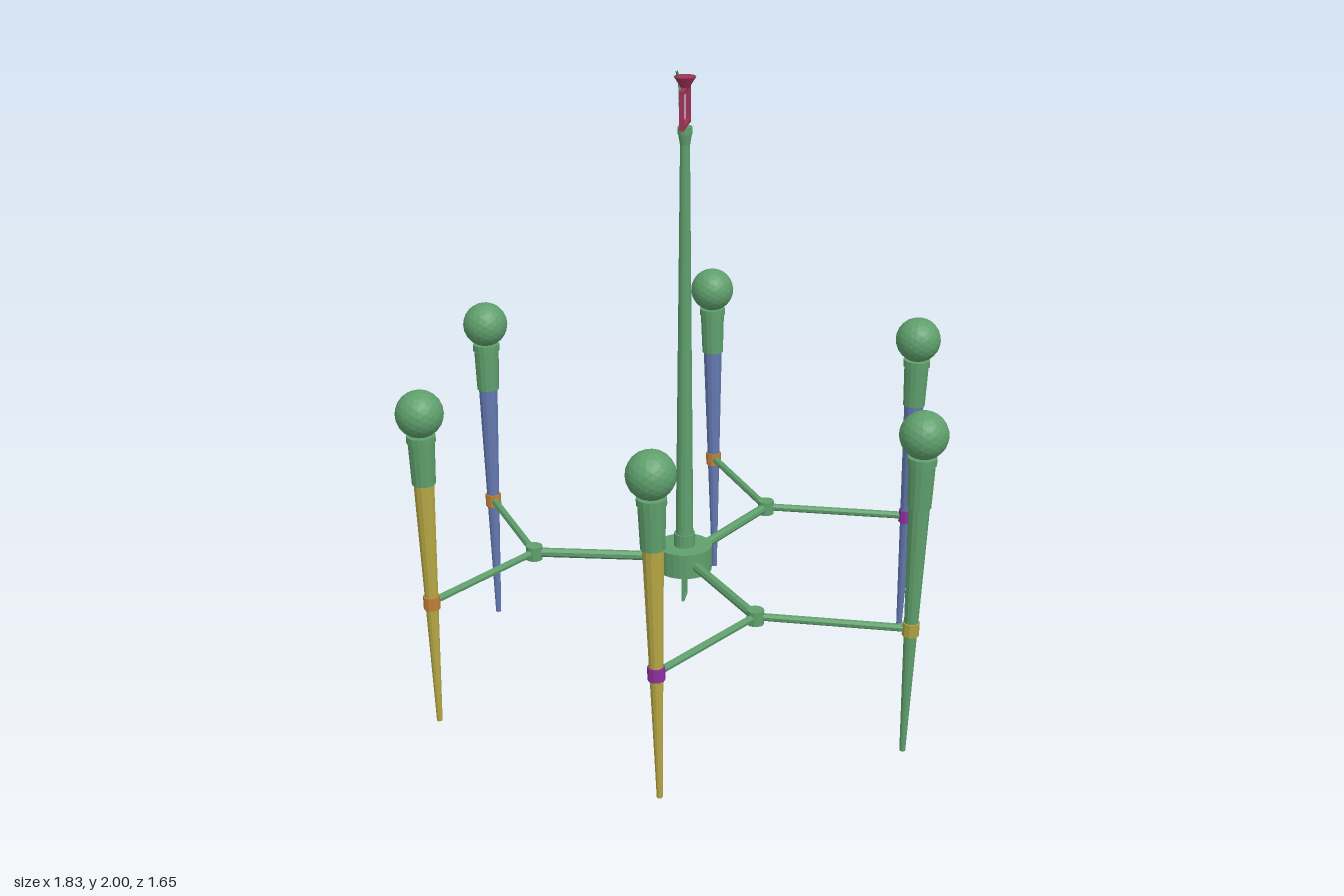
import * as THREE from 'three';

const mat = (color, extra = {}) => {
  const m = new THREE.MeshStandardMaterial({ flatShading: true, ...extra });
  m.color.set(color);
  return m;
};
const GREEN = mat(0x5f9f6c), BLUE = mat(0x6478b0), YELLOW = mat(0xb8a845);
const CRIMSON = mat(0xa03458), PURPLE = mat(0x9030a0), ORANGE = mat(0xbf8038), OLIVE = mat(0xb0a040);
const UP = new THREE.Vector3(0, 1, 0);
const CX = 0.012, CZ = 0.018, ARM_Y = 0.413;

function add(parent, name, geometry, material, x = 0, y = 0, z = 0) {
  const mesh = new THREE.Mesh(geometry, material);
  mesh.name = name;
  mesh.position.set(x, y, z);
  parent.add(mesh);
  return mesh;
}

// Cylinder spanning y0..y1
function drum(parent, name, rBottom, rTop, y0, y1, material, sides = 16) {
  return add(parent, name, new THREE.CylinderGeometry(rTop, rBottom, y1 - y0, sides), material, 0, (y0 + y1) / 2, 0);
}

// Horizontal rod between two [x, z] points
function rod(parent, name, a, b, r) {
  const p = new THREE.Vector3(a[0], ARM_Y, a[1]), q = new THREE.Vector3(b[0], ARM_Y, b[1]);
  const m = add(parent, name, new THREE.CylinderGeometry(r, r, p.distanceTo(q), 8), GREEN);
  m.position.copy(p).lerp(q, 0.5);
  m.quaternion.setFromUnitVectors(UP, q.sub(p).normalize());
}

// Upright rectangular ring, open in the middle
function frame(parent, name, w, y0, y1, bar, depth, material) {
  const h = y1 - y0, s = new THREE.Shape(), hole = new THREE.Path();
  s.moveTo(-w / 2, 0).lineTo(w / 2, 0).lineTo(w / 2, h).lineTo(-w / 2, h).closePath();
  hole.moveTo(-w / 2 + bar, bar).lineTo(-w / 2 + bar, h - bar).lineTo(w / 2 - bar, h - bar).lineTo(w / 2 - bar, bar).closePath();
  s.holes.push(hole);
  const g = new THREE.ExtrudeGeometry(s, { depth, bevelEnabled: false });
  g.translate(0, 0, -depth / 2);
  add(parent, name, g, material, 0, y0, 0).rotation.y = Math.PI / 3;
}

// Leaning lamp: spike, ring, cup and globe along the line from tip to globe
function lamp(parent, tip, ball, color, ringColor) {
  const g = new THREE.Group();
  g.name = 'lamp';
  g.position.set(tip[0], 0, tip[1]);
  const axis = new THREE.Vector3(ball[0] - tip[0], 1.035, ball[1] - tip[1]).normalize();
  g.quaternion.setFromUnitVectors(UP, axis);
  drum(g, 'spike', 0.009, 0.032, 0, 0.82, color, 12);
  drum(g, 'ring', 0.026, 0.026, ARM_Y - 0.021, ARM_Y + 0.021, ringColor, 10);
  drum(g, 'cup', 0.036, 0.041, 0.81, 0.962, GREEN, 14);
  drum(g, 'cupRim', 0.044, 0.044, 0.945, 0.967, GREEN, 14);
  add(g, 'globe', new THREE.IcosahedronGeometry(0.073, 3), GREEN, 0, 1.035, 0);
  parent.add(g);
}

export function createModel() {
  const model = new THREE.Group();
  model.name = 'chandelier';

  // Hub, column and finials share the central axis
  const core = new THREE.Group();
  core.name = 'core';
  core.position.set(CX, 0, CZ);
  model.add(core);
  drum(core, 'hub', 0.088, 0.088, 0.375, 0.456, GREEN, 24);
  drum(core, 'hubCollar', 0.034, 0.034, 0.456, 0.498, GREEN);
  drum(core, 'hubFoot', 0.028, 0.028, 0.355, 0.376, GREEN);
  drum(core, 'column', 0.028, 0.015, 0.49, 1.77, GREEN);
  drum(core, 'columnFlare', 0.015, 0.021, 1.765, 1.8, GREEN);
  drum(core, 'columnCap', 0.023, 0.023, 1.8, 1.822, GREEN);
  frame(core, 'lowerLoop', 0.062, 0.27, 0.36, 0.008, 0.009, GREEN);
  frame(core, 'upperLoop', 0.122, 1.822, 1.942, 0.013, 0.014, CRIMSON);

  // Inverted cone and thin bent wire at the top
  drum(core, 'topCone', 0.008, 0.034, 1.932, 1.974, CRIMSON, 10);
  const wire = new THREE.CatmullRomCurve3([
    [0, 1.82, 0], [-0.01, 1.865, -0.013], [-0.014, 1.91, -0.006], [-0.016, 1.955, -0.008], [-0.034, 1.998, 0.02],
  ].map(p => new THREE.Vector3(...p)));
  add(core, 'wire', new THREE.TubeGeometry(wire, 14, 0.004, 6), GREEN);

  // Three forked arms, each carrying two lamps: [tip, globe, spike, ring]
  const arms = [
    { joint: [-0.43, -0.18], lamps: [
      [[-0.436, -0.625], [-0.443, -0.66], BLUE, ORANGE],
      [[-0.818, 0.06], [-0.845, 0.072], YELLOW, ORANGE]] },
    { joint: [0.407, -0.267], lamps: [
      [[0.396, -0.72], [0.395, -0.755], BLUE, ORANGE],
      [[0.811, -0.045], [0.836, -0.032], BLUE, PURPLE]] },
    { joint: [0.066, 0.495], lamps: [
      [[0.463, 0.723], [0.488, 0.735], GREEN, OLIVE],
      [[-0.325, 0.732], [-0.354, 0.748], YELLOW, PURPLE]] },
  ];
  for (const { joint, lamps } of arms) {
    rod(model, 'mainArm', [CX, CZ], joint, 0.015);
    const j = drum(model, 'armJoint', 0.027, 0.027, ARM_Y - 0.023, ARM_Y + 0.023, GREEN, 12);
    j.position.x = joint[0];
    j.position.z = joint[1];
    for (const [tip, ball, color, ring] of lamps) {
      const t = ARM_Y / 1.035;
      rod(model, 'branchArm', joint, [0, 1].map(i => tip[i] + (ball[i] - tip[i]) * t), 0.012);
      lamp(model, tip, ball, color, ring);
    }
  }
  return model;
}
